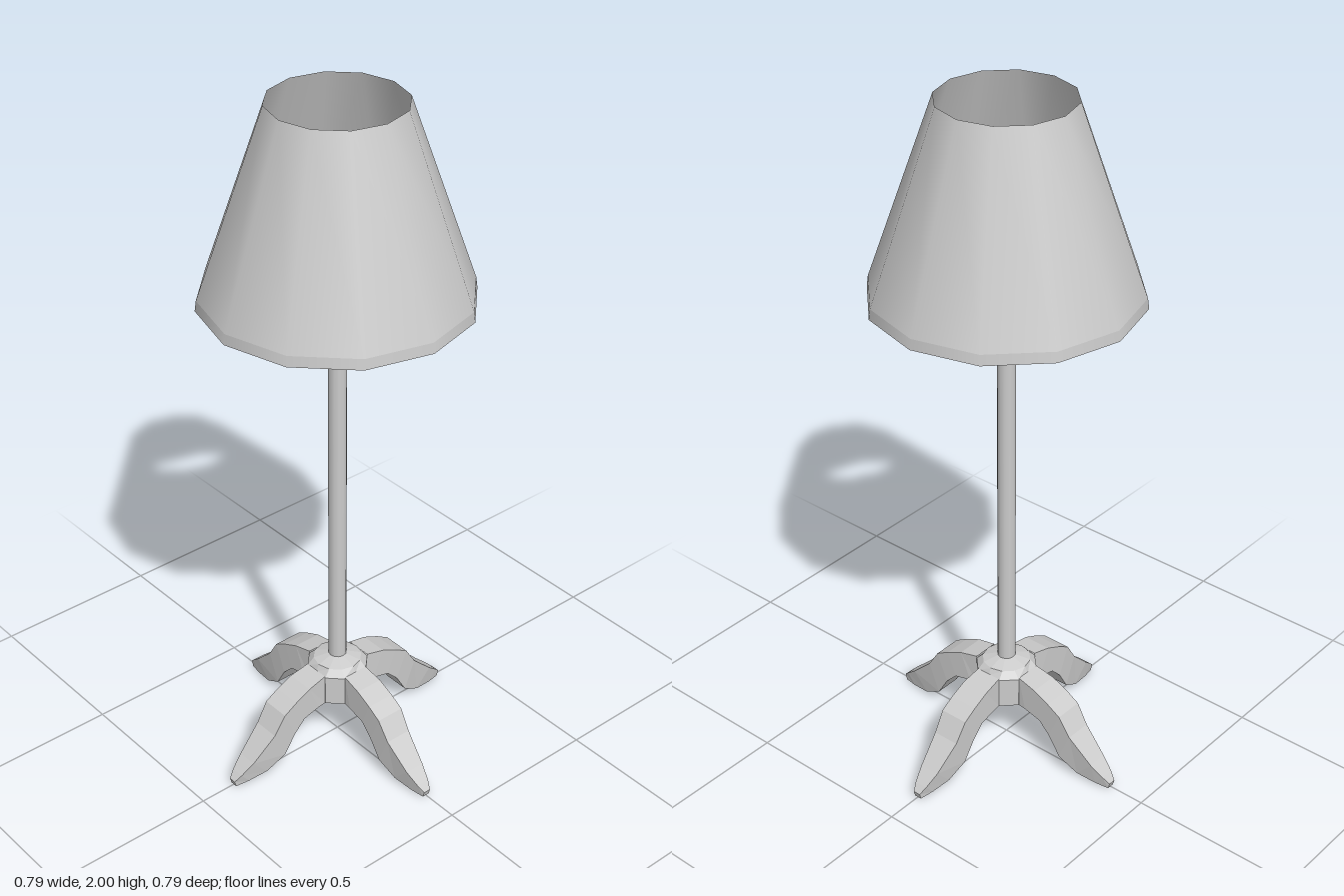
import * as THREE from 'three';

const smooth = new THREE.MeshStandardMaterial({ color: 0xcccccc, side: THREE.DoubleSide });
const flat = new THREE.MeshStandardMaterial({ color: 0xcccccc, side: THREE.DoubleSide, flatShading: true });

// Joins equal-length rings of points into a skin; optional cap on the last ring
function loft(rings, cap = false) {
  const n = rings[0].length;
  const index = [];
  for (let r = 0; r < rings.length - 1; r++) {
    for (let i = 0; i < n; i++) {
      const a = r * n + i, b = r * n + (i + 1) % n;
      index.push(a, b, b + n, a, b + n, a + n);
    }
  }
  const last = (rings.length - 1) * n;
  if (cap) for (let i = 1; i < n - 1; i++) index.push(last, last + i, last + i + 1);
  const g = new THREE.BufferGeometry();
  g.setAttribute('position', new THREE.Float32BufferAttribute(rings.flat(2), 3));
  g.setIndex(index);
  const out = g.toNonIndexed();
  out.computeVertexNormals();
  return out;
}

function add(parent, name, geometry, material) {
  const mesh = new THREE.Mesh(geometry, material);
  mesh.name = name;
  parent.add(mesh);
  return mesh;
}

export function createModel() {
  const lamp = new THREE.Group();
  lamp.name = 'floorLamp';

  // Twelve-sided shade, open at both ends, with a short lip at the bottom
  const shade = new THREE.Group();
  shade.name = 'shade';
  lamp.add(shade);
  const profile = (pts) => new THREE.LatheGeometry(pts.map(([r, y]) => new THREE.Vector2(r, y)), 12);
  add(shade, 'shadeWall', profile([[0.37, 1.475], [0.187, 2]]), smooth);
  add(shade, 'shadeLip', profile([[0.374, 1.445], [0.37, 1.475]]), smooth);

  // Hollow pole
  const pole = add(lamp, 'pole', new THREE.CylinderGeometry(0.026, 0.026, 1.5, 12, 1, true), smooth);
  pole.position.y = 1.01;

  // Hub: chamfered square shell, open below, rising to a round collar
  const square = (y) => {
    const ring = [];
    for (let q = 0; q < 4; q++) {
      const c = Math.round(Math.cos(q * Math.PI / 2)), s = Math.round(Math.sin(q * Math.PI / 2));
      for (const [x, z] of [[0.08, 0], [0.08, 0.04], [0.04, 0.08]]) {
        ring.push([x * c - z * s, y, -(x * s + z * c)]);
      }
    }
    return ring;
  };
  const circle = (radius, y) => Array.from({ length: 12 }, (_, i) => {
    const a = i * Math.PI / 6;
    return [radius * Math.cos(a), y, -radius * Math.sin(a)];
  });
  add(lamp, 'hub', loft([square(0.16), square(0.252), circle(0.07, 0.272), circle(0.026, 0.285)]), flat);

  // Legs: stations of top x, top y, bottom x, bottom y, half width
  const stations = [
    [0.08, 0.257, 0.08, 0.16, 0.039],
    [0.14, 0.243, 0.105, 0.16, 0.042],
    [0.19, 0.22, 0.16, 0.147, 0.043],
    [0.232, 0.195, 0.196, 0.11, 0.043],
    [0.268, 0.138, 0.232, 0.05, 0.04],
    [0.34, 0.068, 0.29, 0.014, 0.03],
    [0.376, 0.037, 0.35, 0.004, 0.02],
    [0.395, 0.018, 0.39, 0, 0.011],
  ];
  const legShape = loft(stations.map(([tx, ty, bx, by, w]) =>
    [[bx, by, w], [bx, by, -w], [tx, ty, -w], [tx, ty, w]]), true);
  ['leftLeg', 'backLeg', 'rightLeg', 'frontLeg'].forEach((name, i) => {
    add(lamp, name, legShape, flat).rotation.y = i * Math.PI / 2;
  });

  return lamp;
}
